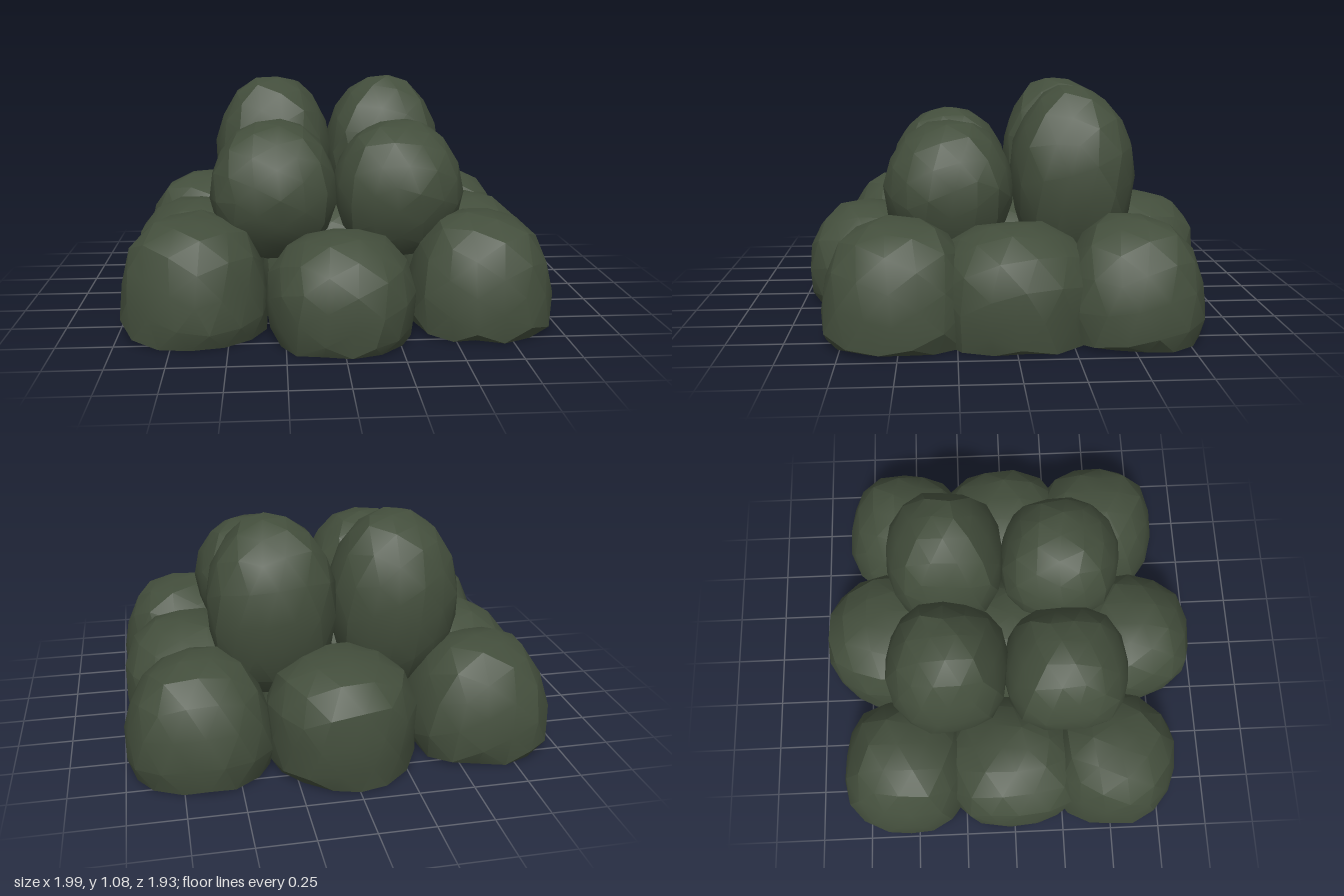
import * as THREE from 'three';
import { toCreasedNormals } from 'three/addons/utils/BufferGeometryUtils.js';

const foliage = new THREE.MeshStandardMaterial({ color: 0x434e3c });
foliage.name = 'dark foliage green';

// A lumpy, slightly boxy ellipsoid; anything below the floor is flattened onto it
function clump(name, [x, y, z], [rx, ry, rz], seed, power = 2.4) {
  const geometry = new THREE.IcosahedronGeometry(1, 2);
  const position = geometry.attributes.position;
  const d = new THREE.Vector3();
  const spin = new THREE.Euler(seed * 1.3, seed * 2.1, seed * 0.7);
  for (let i = 0; i < position.count; i++) {
    d.fromBufferAttribute(position, i).normalize().applyEuler(spin);
    const sum = Math.abs(d.x) ** power + Math.abs(d.y) ** power + Math.abs(d.z) ** power;
    const bump = 0.03 * Math.sin(4 * d.x + seed) * Math.cos(5 * d.z + 2 * seed)
      + 0.02 * Math.sin(6 * d.y + 3 * seed);
    const r = sum ** (-1 / power) * (1 + bump);
    position.setXYZ(i, x + d.x * r * rx, Math.max(0.01, y + d.y * r * ry), z + d.z * r * rz);
  }
  const mesh = new THREE.Mesh(toCreasedNormals(geometry, 0.42), foliage);
  mesh.name = name;
  return mesh;
}

export function createModel() {
  const bush = new THREE.Group();
  bush.name = 'bush';

  // Lower layer: three by three clumps resting on the floor
  const lower = [
    ['frontRightClump', [-0.66, 0.15, 0.51], [0.33, 0.38, 0.33]],
    ['frontClump', [0, 0.14, 0.66], [0.33, 0.36, 0.32]],
    ['frontLeftClump', [0.65, 0.15, 0.51], [0.33, 0.38, 0.33]],
    ['rightClump', [-0.66, 0.15, 0], [0.33, 0.36, 0.36]],
    ['coreClump', [0, 0.15, 0], [0.36, 0.36, 0.36]],
    ['leftClump', [0.65, 0.15, 0], [0.34, 0.37, 0.36]],
    ['backRightClump', [-0.65, 0.15, -0.54], [0.34, 0.38, 0.33]],
    ['backClump', [0.02, 0.18, -0.62], [0.34, 0.36, 0.34]],
    ['backLeftClump', [0.66, 0.15, -0.53], [0.33, 0.38, 0.32]],
  ];
  lower.forEach(([name, centre, radii], i) => bush.add(clump(name, centre, radii, i + 1)));

  // Upper layer: a mirrored pair in front, a taller pair behind
  for (const side of [-1, 1]) {
    const label = side > 0 ? 'Left' : 'Right';
    bush.add(clump(`upperFront${label}Clump`, [0.295 * side, 0.6, 0.275], [0.3, 0.32, 0.3], 12 + side));
    bush.add(clump(`upperBack${label}Clump`, [0.29 * side, 0.66, -0.3], [0.3, 0.42, 0.29], 16 + side));
  }
  return bush;
}
